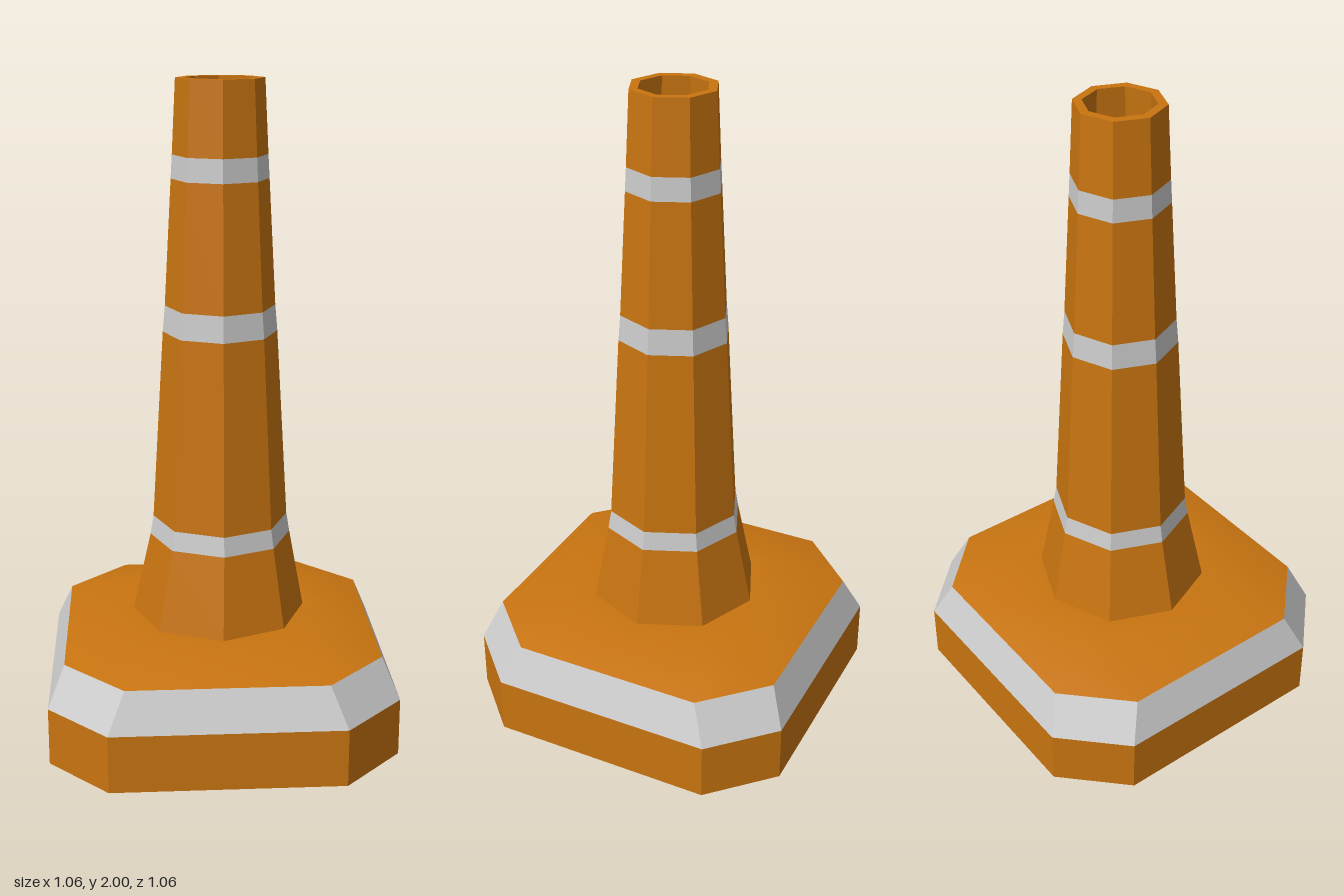
import * as THREE from 'three';
import { toCreasedNormals } from 'three/addons/utils/BufferGeometryUtils.js';

const orange = new THREE.MeshStandardMaterial({ color: 0xc87410 });
const grey = new THREE.MeshStandardMaterial({ color: 0xcccccc });

// regular eight-sided ring
function ring(r, y, dx = 0) {
  return Array.from({ length: 8 }, (_, i) => {
    const a = (i * Math.PI) / 4;
    return [dx + r * Math.cos(a), y, r * Math.sin(a)];
  });
}

// square ring with cut corners; long = half width, short = half straight edge
function cutSquare(long, short, y, shift = 0) {
  const pts = [];
  for (let q = 0; q < 4; q++) {
    const c = Math.round(Math.cos((q * Math.PI) / 2));
    const s = Math.round(Math.sin((q * Math.PI) / 2));
    for (const [x, z] of [[long, short], [short, long]]) {
      pts.push([x * c - z * s, y, x * s + z * c]);
    }
  }
  return pts.map((_, i) => pts[(i + shift + 8) % 8]);
}

// skin a series of eight-point rings
function loft(name, rings, material, crease = 0.5) {
  const pos = [];
  for (let k = 0; k + 1 < rings.length; k++) {
    const a = rings[k], b = rings[k + 1];
    for (let i = 0; i < 8; i++) {
      const j = (i + 1) % 8;
      pos.push(...a[i], ...b[i], ...b[j], ...a[i], ...b[j], ...a[j]);
    }
  }
  const geo = new THREE.BufferGeometry();
  geo.setAttribute('position', new THREE.Float32BufferAttribute(pos, 3));
  const mesh = new THREE.Mesh(toCreasedNormals(geo, crease), material);
  mesh.name = name;
  return mesh;
}

export function createModel() {
  const group = new THREE.Group();
  group.name = 'trafficCone';

  // heavy base: walls, grey bevel, sloping top, underside around the hole
  group.add(
    loft('baseWall', [cutSquare(0.53, 0.35, 0), cutSquare(0.53, 0.35, 0.18)], orange),
    loft('baseBevel', [cutSquare(0.53, 0.35, 0.18), cutSquare(0.48, 0.3, 0.3)], grey),
    loft('baseTop', [cutSquare(0.48, 0.3, 0.3), ring(0.35, 0.35), ring(0.27, 0.35)], orange),
    loft('baseUnderside', [ring(0.345, 0), cutSquare(0.53, 0.35, 0, -1)], orange),
  );

  // tapering body, every second section a reflective band
  const profile = [
    [0.27, 0.35, 0], [0.219, 0.6, 0.005], [0.209, 0.66, 0.005], [0.174, 1.25, 0.005],
    [0.167, 1.33, 0.005], [0.146, 1.71, 0.005], [0.142, 1.78, 0.005], [0.131, 2, 0.005],
  ].map((p) => ring(...p));
  for (let i = 0; i + 1 < profile.length; i++) {
    const band = i % 2 === 1;
    group.add(loft(band ? 'reflectiveBand' : 'coneSection', [profile[i], profile[i + 1]], band ? grey : orange));
  }

  // rim and hollow inside
  const top = ring(0.104, 2, 0.006), waist = ring(0.185, 0.62, 0.005);
  group.add(
    loft('topRim', [profile[7], top], orange),
    loft('innerTube', [top, waist], orange),
    loft('innerFlare', [waist, ring(0.24, 0.35), ring(0.345, 0)], orange, 1),
  );
  return group;
}
